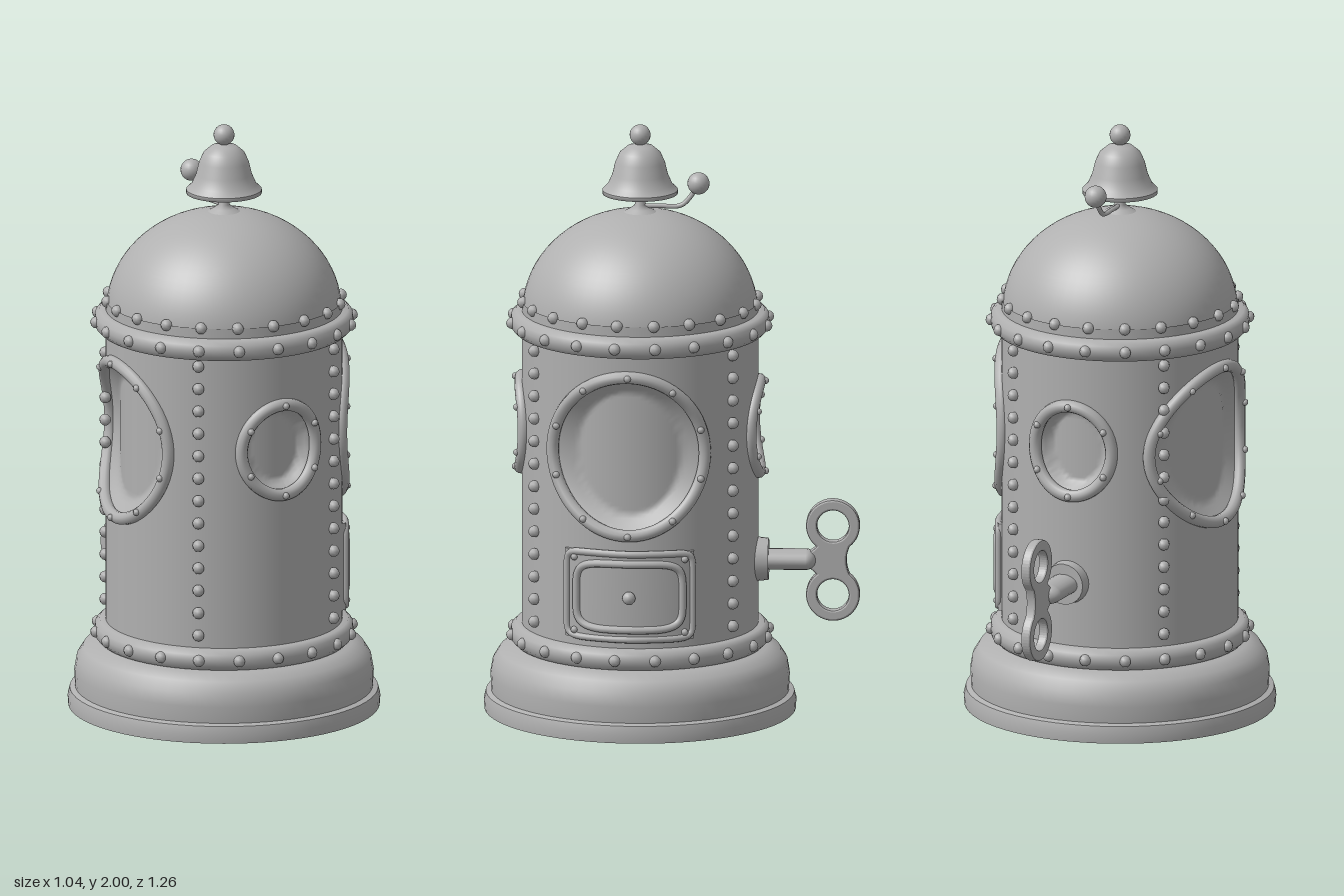
import * as THREE from 'three';

const R = 0.395; // wall radius
const metal = new THREE.MeshStandardMaterial({ color: 0xb0b0b0 });
metal.name = 'grey metal';
const V = (x, y, z) => new THREE.Vector3(x, y, z);

function add(parent, name, geo, x = 0, y = 0, z = 0) {
  const m = new THREE.Mesh(geo, metal);
  m.name = name;
  m.position.set(x, y, z);
  parent.add(m);
  return m;
}

// Lathe from short runs of points; each run keeps its own sharp edges
function lathe(parent, name, runs) {
  const g = new THREE.Group();
  g.name = name;
  runs.forEach((r) => add(g, name, new THREE.LatheGeometry(r.map(([a, b]) => new THREE.Vector2(a, b)), 64)));
  parent.add(g);
  return g;
}

// Depth of the cylindrical wall at sideways distance u
const wall = (u) => Math.sqrt(Math.max(0, R * R - u * u));

// Wrap a flat geometry (facing +z) around the wall
function bend(geo) {
  const p = geo.attributes.position;
  for (let i = 0; i < p.count; i++) p.setZ(i, p.getZ(i) + wall(p.getX(i)));
  geo.computeVertexNormals();
  return geo;
}

// Closed tube on the wall following a superellipse (n = 2 is an ellipse)
function wallRing(u, y, rx, ry, tube, lift, n = 2) {
  const pts = [];
  for (let i = 0; i < 48; i++) {
    const a = (i / 48) * Math.PI * 2, c = Math.cos(a), s = Math.sin(a);
    const x = u + rx * Math.sign(c) * Math.abs(c) ** (2 / n);
    pts.push(V(x, y + ry * Math.sign(s) * Math.abs(s) ** (2 / n), wall(x) + lift));
  }
  return new THREE.TubeGeometry(new THREE.CatmullRomCurve3(pts, true), 96, tube, 10, true);
}

const rivetGeo = new THREE.SphereGeometry(0.02, 8, 6);
const smallRivetGeo = new THREE.SphereGeometry(0.012, 8, 6);

function rivetCircle(parent, name, count, radius, y) {
  for (let i = 0; i < count; i++) {
    const a = ((i + 0.5) / count) * Math.PI * 2;
    add(parent, name, rivetGeo, radius * Math.sin(a), y, radius * Math.cos(a));
  }
}

// Windows: facing angle, sideways offset, height, radii, rivet count
const windows = [
  { name: 'frontPorthole', a: 0, u: -0.03, y: 0.97, rx: 0.14, ry: 0.155, n: 6 },
  { name: 'backPorthole', a: Math.PI, u: 0, y: 0.97, rx: 0.14, ry: 0.155, n: 6 },
  { name: 'rightWindow', a: Math.PI / 2, u: -0.025, y: 0.955, rx: 0.255, ry: 0.272, n: 10 },
  { name: 'leftWindow', a: -Math.PI / 2, u: -0.06, y: 0.955, rx: 0.25, ry: 0.265, n: 10 },
];

// Cylinder wall, dished inward inside each window
function wallGeometry() {
  const geo = new THREE.CylinderGeometry(R, R, 1.2, 160, 90, true);
  geo.translate(0, 0.8, 0);
  const p = geo.attributes.position;
  for (let i = 0; i < p.count; i++) {
    const x = p.getX(i), y = p.getY(i), z = p.getZ(i);
    for (const w of windows) {
      const c = Math.cos(w.a), s = Math.sin(w.a);
      if (x * s + z * c <= 0) continue;
      const d = ((x * c - z * s - w.u) / w.rx) ** 2 + ((y - w.y) / w.ry) ** 2;
      if (d >= 1) continue;
      const k = 1 - (0.05 * Math.min(1, 2.5 * (1 - d))) / R;
      p.setXYZ(i, x * k, y, z * k);
    }
  }
  geo.computeVertexNormals();
  return geo;
}

function buildKey(parent) {
  const key = new THREE.Group();
  key.name = 'windUpKey';
  key.position.set(0.01, 0.515, 0);
  parent.add(key);
  const collar = add(key, 'keyCollar', new THREE.CylinderGeometry(0.07, 0.077, 0.06, 24), 0, 0, -0.4);
  collar.rotation.x = -Math.PI / 2;
  const shaft = add(key, 'keyShaft', new THREE.CapsuleGeometry(0.035, 0.15, 6, 20), 0, 0, -0.48);
  shaft.rotation.x = Math.PI / 2;
  shaft.scale.x = 1.45;

  // Handle outline: two lobes joined by a waist, with a hole in each lobe
  const s = new THREE.Shape();
  s.absarc(0.645, 0.118, 0.09, -0.9, Math.PI + 0.9, false);
  s.quadraticCurveTo(0.575, 0.03, 0.545, 0.02);
  s.lineTo(0.545, -0.02);
  s.quadraticCurveTo(0.575, -0.03, 0.645 - 0.09 * Math.cos(0.9), -0.118 + 0.09 * Math.sin(0.9));
  s.absarc(0.645, -0.118, 0.09, Math.PI - 0.9, 2 * Math.PI + 0.9, false);
  s.quadraticCurveTo(0.68, 0, 0.645 + 0.09 * Math.cos(0.9), 0.118 - 0.09 * Math.sin(0.9));
  for (const y of [0.118, -0.118]) {
    const h = new THREE.Path();
    h.absarc(0.645, y, 0.053, 0, Math.PI * 2, true);
    s.holes.push(h);
  }
  const geo = new THREE.ExtrudeGeometry(s, {
    depth: 0.022, curveSegments: 20, bevelSize: 0.007, bevelThickness: 0.007, bevelOffset: -0.007, bevelSegments: 2,
  });
  geo.translate(0, 0, -0.011);
  geo.rotateY(Math.PI / 2);
  add(key, 'keyHandle', geo);
}

function buildHatch(side) {
  const u = -0.02, y = 0.475;
  const panel = new THREE.BoxGeometry(0.43, 0.3, 0.04, 24, 1, 1);
  panel.translate(u, 0, -0.005);
  add(side, 'hatchPlate', bend(panel), 0, y, 0);
  add(side, 'hatchFrame', wallRing(u, y, 0.21, 0.146, 0.012, 0.012, 12));
  add(side, 'hatchRim', wallRing(u, y, 0.178, 0.113, 0.013, 0.016, 5));
  for (const i of [-1, 1]) for (const j of [-1, 1]) {
    const x = u + i * 0.185;
    add(side, 'hatchRivet', smallRivetGeo, x, y + j * 0.125, wall(x) + 0.018);
  }
  const stem = add(side, 'hatchKnobStem', new THREE.CylinderGeometry(0.012, 0.016, 0.03, 12), u, y, R + 0.02);
  stem.rotation.x = Math.PI / 2;
  add(side, 'hatchKnob', new THREE.SphereGeometry(0.022, 14, 10), u, y, R + 0.027);
}

function buildBell(parent) {
  lathe(parent, 'bellStem', [[[0.07, 1.692], [0.035, 1.712], [0.018, 1.725], [0.016, 1.79]]]);
  lathe(parent, 'bell', [
    [[0, 1.79], [0.1, 1.775], [0.117, 1.765]],
    [[0.117, 1.765], [0.126, 1.765], [0.126, 1.778]],
    [[0.126, 1.778], [0.108, 1.796], [0.093, 1.83], [0.083, 1.872], [0.068, 1.905], [0.042, 1.927], [0, 1.937]],
  ]);
  add(parent, 'bellKnob', new THREE.SphereGeometry(0.035, 20, 14), 0, 1.965, 0);
  const path = new THREE.CatmullRomCurve3([
    V(0, 1.722, 0), V(0, 1.722, -0.06), V(0, 1.724, -0.135), V(0, 1.75, -0.165), V(0, 1.8, -0.195),
  ]);
  add(parent, 'hammerArm', new THREE.TubeGeometry(path, 24, 0.008, 8));
  add(parent, 'hammerBall', new THREE.SphereGeometry(0.037, 20, 14), 0, 1.8, -0.195);
}

export function createModel() {
  const model = new THREE.Group();
  model.name = 'windUpBellTower';
  const body = new THREE.Group();
  body.name = 'body';
  body.position.z = 0.11;
  model.add(body);

  // Stepped, rounded foot
  lathe(body, 'base', [
    [[0, 0], [0.52, 0]],
    [[0.52, 0], [0.522, 0.03], [0.515, 0.058]],
    [[0.515, 0.058], [0.497, 0.064]],
    [[0.497, 0.064], [0.5, 0.12], [0.492, 0.165], [0.47, 0.2], [0.43, 0.22], [0.38, 0.228]],
  ]);
  add(body, 'wall', wallGeometry());

  // Riveted bands
  for (const y of [0.26, 1.33]) {
    lathe(body, 'band', [[[0.385, y - 0.036], [0.415, y - 0.035], [0.43, y - 0.02], [0.432, y],
      [0.43, y + 0.02], [0.415, y + 0.035], [0.385, y + 0.036]]]);
    rivetCircle(body, 'bandRivet', 20, 0.43, y);
  }

  // Dome
  const dome = [];
  for (let i = 0; i <= 20; i++) {
    const a = (i / 20) * Math.PI / 2;
    dome.push([0.393 * Math.cos(a), 1.36 + 0.345 * Math.sin(a)]);
  }
  lathe(body, 'dome', [dome]);
  rivetCircle(body, 'domeRivet', 20, 0.393, 1.4);

  // Vertical rivet seams
  for (const [x, z] of [[-0.29, 0.28], [0.21, 0.345], [0.245, -0.32], [-0.29, -0.28]])
    for (let i = 0; i < 13; i++) add(body, 'seamRivet', rivetGeo, x, 0.34 + i * 0.0775, z);

  // Window frames and the hatch under the right window
  for (const w of windows) {
    const side = new THREE.Group();
    side.name = w.name;
    side.rotation.y = w.a;
    body.add(side);
    add(side, 'windowFrame', wallRing(w.u, w.y, w.rx, w.ry, 0.021, 0.004));
    for (let i = 0; i < w.n; i++) {
      const a = ((i + 0.5) / w.n) * Math.PI * 2, x = w.u + w.rx * Math.cos(a);
      add(side, 'frameRivet', smallRivetGeo, x, w.y + w.ry * Math.sin(a), wall(x) + 0.024);
    }
    if (w.name === 'rightWindow') buildHatch(side);
  }

  buildKey(body);
  buildBell(body);
  return model;
}
